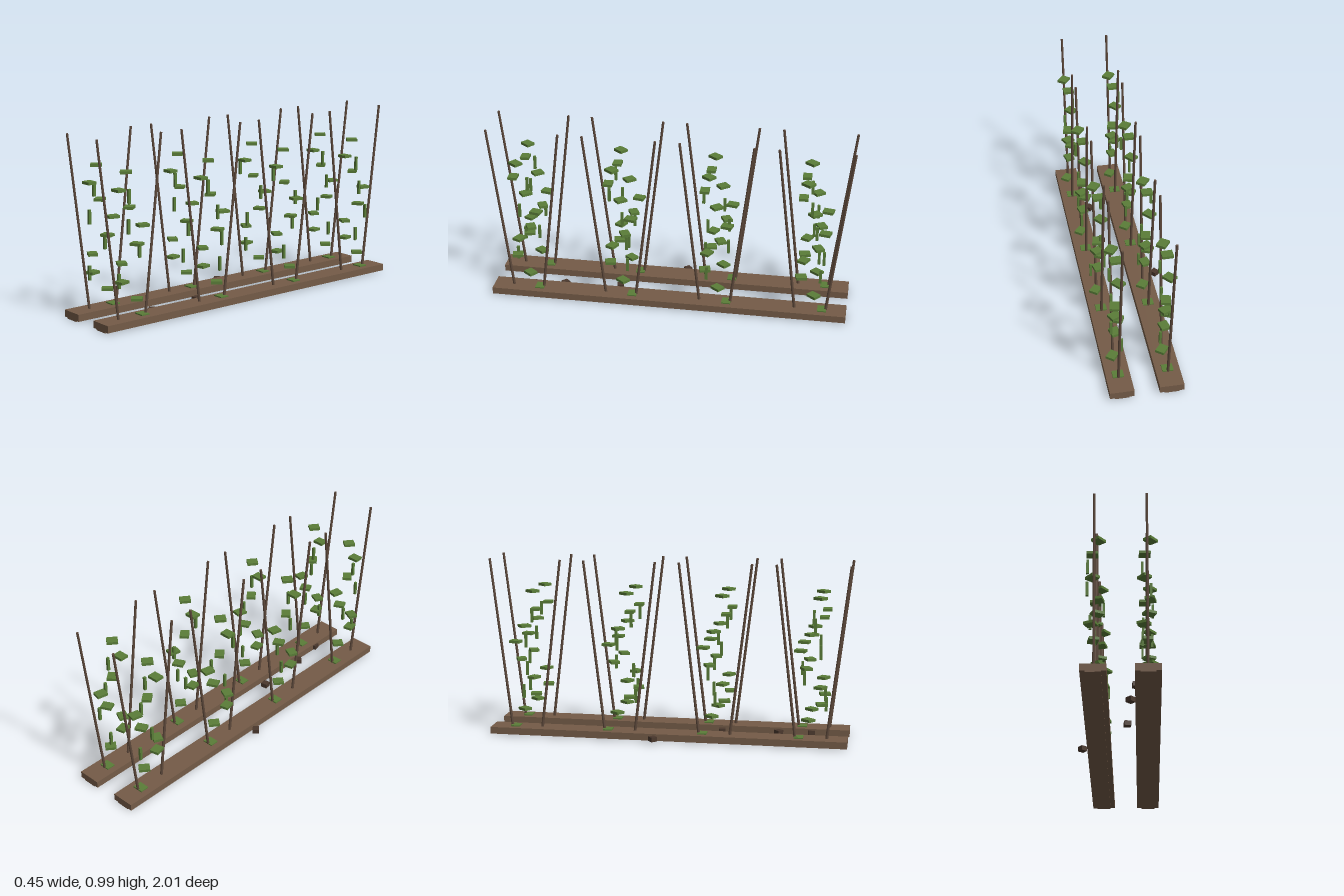
import * as THREE from 'three';

const paint = (name, color) => {
  const m = new THREE.MeshStandardMaterial({ color });
  m.name = name;
  return m;
};

export function createModel() {
  const root = new THREE.Group();
  root.name = 'plantRows';
  const soil = paint('soil brown', 0x745b47);
  const wood = paint('stake brown', 0x5f4a3c);
  const green = paint('leaf green', 0x5a7d38);
  const earth = paint('dark earth', 0x4a382d);

  const add = (parent, name, geo, mat, x, y, z, ry = 0) => {
    const mesh = new THREE.Mesh(geo, mat);
    mesh.name = name;
    mesh.position.set(x, y, z);
    mesh.rotation.y = ry;
    parent.add(mesh);
    return mesh;
  };

  const bedGeo = new THREE.BoxGeometry(0.13, 0.038, 1.99);
  const footGeo = new THREE.BoxGeometry(0.078, 0.008, 1.99);
  const leafGeo = new THREE.BoxGeometry(0.05, 0.015, 0.06);
  const podGeo = new THREE.BoxGeometry(0.013, 0.078, 0.015);
  const clodGeo = new THREE.BoxGeometry(0.036, 0.026, 0.036);

  // Tapering stake between two points in a plane of constant x
  const bottom = 0.03, top = 0.99, lean = 0.115;
  const stakeGeo = new THREE.CylinderGeometry(0.007, 0.008, Math.hypot(top - bottom, lean), 6);

  // Hanging pods: z offsets by level and plant, for the two beds
  const podZ = [
    [[0.08, 0.06], [0, -0.043], [0.086, 0.043], [-0.027, -0.048]],
    [[-0.038, -0.07], [-0.038, -0.043], [0.075, -0.07], [0.011, -0.065]],
    [[0.048, 0.027], [0.038, -0.02], [-0.02, -0.075], [-0.01, -0.02]],
    [[0.016, -0.011], [0.065, 0.048], [0.075, 0.07], [0.027, 0.011]],
  ];
  // Pod x offsets by level: first bed, then second bed
  const podX = [
    [[0, 0.015, 0.025, 0.033], [-0.026, 0.015, 0.037, -0.024]],
    [[-0.025, 0.015, 0.025, -0.022], [-0.023, 0.034, -0.02, 0.035]],
    [[-0.038, -0.012, 0.032, 0.03], [0.018, 0.027, 0, 0.027]],
    [[-0.038, 0.032, -0.038, 0.032], [-0.026, 0.03, -0.026, 0.03]],
  ];

  [-0.107, 0.158].forEach((bx, b) => {
    const row = new THREE.Group();
    row.name = b ? 'leftRow' : 'rightRow';
    row.position.x = bx;
    root.add(row);
    add(row, 'soilBed', bedGeo, soil, 0, 0.026, 0);
    add(row, 'soilBedBase', footGeo, soil, 0, 0.005, 0);

    for (let p = 0; p < 4; p++) {
      const plant = new THREE.Group();
      plant.name = 'climbingPlant';
      plant.position.z = 0.797 - p * 0.531;
      row.add(plant);

      // Pair of stakes spreading apart towards the top
      for (const s of [-1, 1]) {
        const stake = add(plant, 'stake', stakeGeo, wood, 0, (top + bottom) / 2, s * 0.142);
        stake.rotation.x = s * Math.atan2(lean, top - bottom);
      }

      // Leaves scattered up the plant
      for (let i = 0; i < 9; i++) {
        add(plant, 'leaf', leafGeo, green,
          0.02 * Math.sin(1.7 * i), 0.044 + i * 0.096, -0.066 * Math.cos(1.3 * i),
          Math.PI / 2 + 0.9 * i);
      }

      // Upright pods
      for (let k = 0; k < 4; k++) {
        add(plant, 'pod', podGeo, green, podX[k][b][p], 0.237 + k * 0.145, podZ[k][p][b]);
      }
    }
  });

  // Loose clods of earth beside the beds
  [[-0.2, -0.062, 0.7], [0.05, 0.29, 0.15], [0.07, 0.605, 0.8], [0.098, 0.785, 0.2]].forEach(
    ([x, z, r]) => add(root, 'earthClod', clodGeo, earth, x, 0.025, z, r));

  return root;
}
